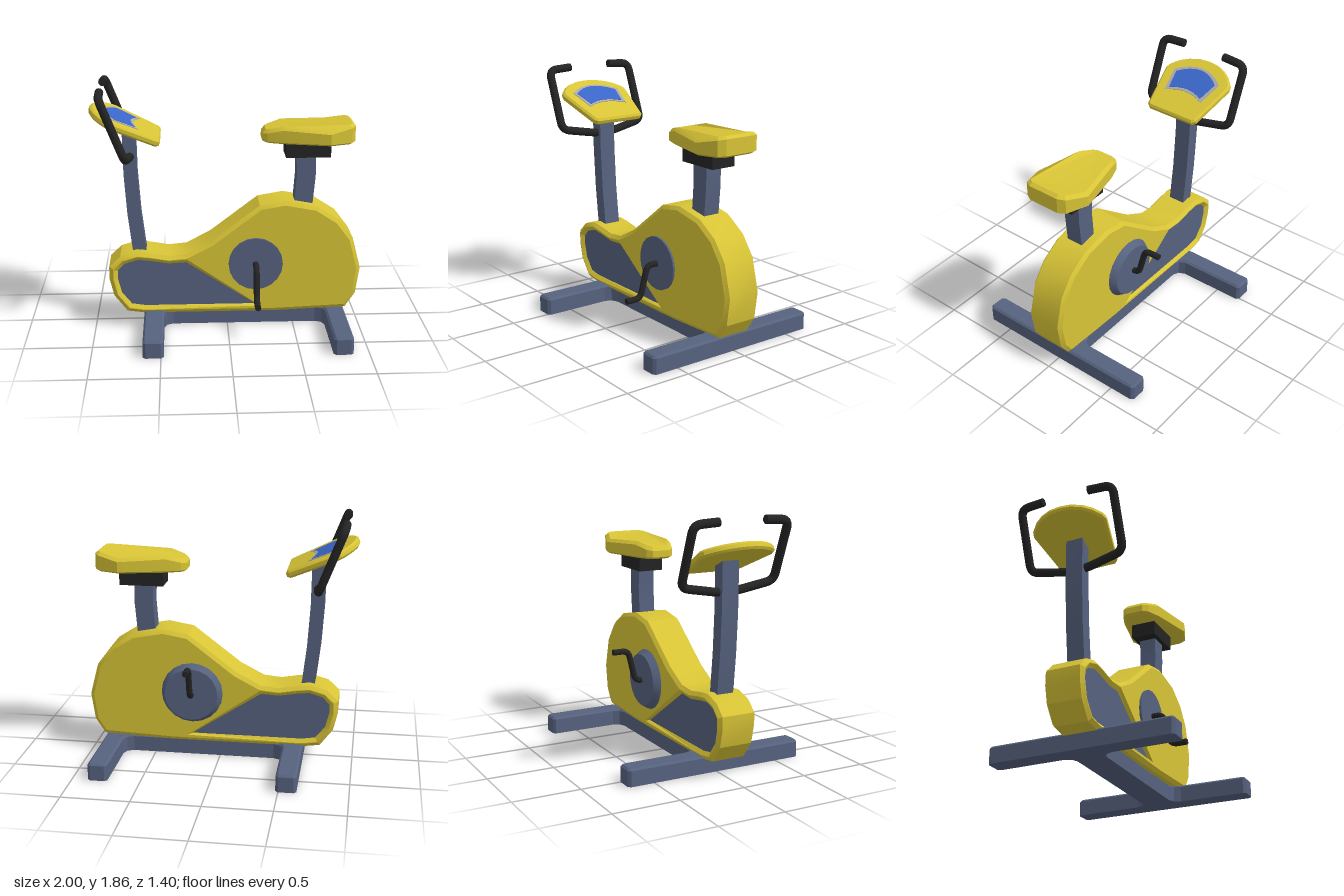
import * as THREE from 'three';
import { toCreasedNormals } from 'three/addons/utils/BufferGeometryUtils.js';

const mat = (color) => new THREE.MeshStandardMaterial({ color });
const YELLOW = mat(0xd8c436), SLATE = mat(0x56627f), BLACK = mat(0x242424);
const GREY = mat(0xa6a8ae), BLUE = mat(0x3a66c8);

const vec2 = (pts) => pts.map(([x, y]) => new THREE.Vector2(x, y));

// Half outline (y >= 0) completed by its reflection in y
const mirrorY = (half) => [...half, ...half.filter((p) => p[1] > 0).reverse().map(([x, y]) => [x, -y])];

function mesh(name, geo, material) {
  const m = new THREE.Mesh(toCreasedNormals(geo, 0.4), material);
  m.name = name;
  return m;
}

// Plate of total thickness t centred on z = 0, chamfered inwards by b (side) and bt (depth)
function plate(pts, t, b = 0, bt = b, hole) {
  const shape = new THREE.Shape(vec2(pts));
  if (hole) shape.holes.push(new THREE.Path(vec2(hole)));
  const geo = new THREE.ExtrudeGeometry(shape, {
    depth: t - 2 * bt, bevelEnabled: b > 0, bevelSize: b, bevelOffset: -b,
    bevelThickness: bt, bevelSegments: 1,
  });
  return geo.translate(0, 0, bt - t / 2);
}

// Lay a plate flat, its underside at y = 0
const flat = (geo, t) => geo.rotateX(-Math.PI / 2).translate(0, t / 2, 0);

// Apply a rule to every vertex
function reshape(geo, rule) {
  const p = geo.attributes.position, v = new THREE.Vector3();
  for (let i = 0; i < p.count; i++) {
    rule(v.fromBufferAttribute(p, i));
    p.setXYZ(i, v.x, v.y, v.z);
  }
  return geo;
}

// Capped round bar through points with rounded corners
function bar(name, points, radius, bend) {
  const group = new THREE.Group();
  group.name = name;
  const p = points.map((q) => new THREE.Vector3(...q));
  const path = new THREE.CurvePath();
  let from = p[0];
  for (let i = 1; i < p.length - 1; i++) {
    const toward = (o) => p[i].clone().add(o.clone().sub(p[i]).setLength(bend));
    const a = toward(p[i - 1]), b = toward(p[i + 1]);
    path.add(new THREE.LineCurve3(from, a));
    path.add(new THREE.QuadraticBezierCurve3(a, p[i], b));
    from = b;
  }
  const last = p[p.length - 1];
  path.add(new THREE.LineCurve3(from, last));
  const tube = new THREE.Mesh(new THREE.TubeGeometry(path, 90, radius, 12), BLACK);
  tube.name = name + 'Tube';
  group.add(tube);
  for (const [end, next] of [[p[0], p[1]], [last, p[p.length - 2]]]) {
    const cap = new THREE.Mesh(new THREE.CircleGeometry(radius, 12), BLACK);
    cap.name = name + 'End';
    cap.position.copy(end);
    cap.lookAt(end.clone().multiplyScalar(2).sub(next));
    group.add(cap);
  }
  return group;
}

// Fan-shaped outline with curved left and right edges, for the display
function fan(xl, hl, bulgeL, xr, hr, bulgeR) {
  const pts = [];
  for (let i = 0; i <= 8; i++) {
    const s = 1 - i / 4;
    pts.push([xl - bulgeL * (1 - s * s), s * hl]);
  }
  for (let i = 0; i <= 8; i++) {
    const s = i / 4 - 1;
    pts.push([xr - bulgeR * (1 - s * s), s * hr]);
  }
  return pts;
}

export function createModel() {
  const model = new THREE.Group();
  model.name = 'exerciseBike';

  // H-shaped floor frame: two cross bars and a filleted centre beam
  const w = 0.11, f = 0.07, c = 0.02, k = 0.3 * f;
  const quarter = (inner, outer, s) => [
    [inner + s * f, w], [inner + s * k, w + k], [inner, w + f],
    [inner, 0.7 - c], [inner - s * c, 0.7], [outer + s * c, 0.7], [outer, 0.7 - c],
  ];
  const rearSide = quarter(0.74, 0.885, -1), frontSide = quarter(-0.48, -0.63, 1);
  const frame = mirrorY([...rearSide.reverse(), ...frontSide]);
  const frameGeo = flat(plate(frame, 0.145, 0.015), 0.145).translate(0, -0.015, 0);
  model.add(mesh('floorFrame', reshape(frameGeo, (v) => { v.y = Math.max(0, v.y); }), SLATE));

  // Everything above the frame shares one centre plane
  const upper = new THREE.Group();
  upper.name = 'upperBody';
  upper.position.z = 0.018;
  model.add(upper);

  // Housing with a sunken panel on each side
  const outline = [
    [-0.885, 0.39], [-0.853, 0.257], [-0.757, 0.13], [-0.63, 0.112], [0.37, 0.112], [0.896, 0.134],
    [0.97, 0.246], [1, 0.45], [0.938, 0.69], [0.83, 0.834], [0.666, 0.94], [0.43, 0.985],
    [0.238, 0.952], [-0.125, 0.674], [-0.306, 0.58], [-0.44, 0.567], [-0.58, 0.592],
    [-0.676, 0.602], [-0.80, 0.567], [-0.885, 0.487],
  ];
  const recess = [
    [-0.822, 0.39], [-0.795, 0.28], [-0.722, 0.188], [-0.62, 0.172], [0.21, 0.172],
    [-0.31, 0.515], [-0.44, 0.507], [-0.58, 0.53], [-0.67, 0.54], [-0.77, 0.51], [-0.822, 0.455],
  ];
  upper.add(mesh('housing', plate(outline, 0.296, 0.028, 0.022, recess), YELLOW));
  upper.add(mesh('sidePanels', plate(recess, 0.25), SLATE));

  // Crank covers: straight on one side, conical on the other
  const cover = (name, z0, z1, r0, r1) => {
    const geo = new THREE.CylinderGeometry(r1, r0, Math.abs(z1 - z0), 20);
    const m = mesh(name, geo.rotateX(Math.sign(z1) * Math.PI / 2), SLATE);
    m.position.set(0.21, 0.505, (z0 + z1) / 2);
    return m;
  };
  upper.add(cover('leftCrankCover', 0.1, 0.165, 0.203, 0.203));
  upper.add(cover('rightCrankCover', -0.145, -0.2, 0.235, 0.2));

  // Pedal cranks, half a turn apart
  for (const [name, s] of [['leftCrank', 1], ['rightCrank', -1]]) {
    upper.add(bar(name, [
      [0.21, 0.505, s * 0.13], [0.21, 0.505, s * 0.25],
      [0.21, 0.505 - s * 0.24, s * 0.31], [0.21, 0.505 - s * 0.24, s * 0.435],
    ], 0.023, 0.05));
  }

  // Curved posts
  const postSide = [[-0.69, 0.5], [-0.71, 0.62], [-0.74, 0.88], [-0.76, 1.19], [-0.765, 1.555]];
  const post = [...postSide.map(([x, y]) => [x + 0.1, Math.min(y, 1.51)]).reverse(), ...postSide];
  upper.add(mesh('handlebarPost', plate(post, 0.13), SLATE));
  const seatPost = [
    [0.485, 0.85], [0.625, 0.85], [0.637, 0.95], [0.655, 1.16], [0.655, 1.33],
    [0.51, 1.33], [0.515, 1.16], [0.5, 0.95],
  ];
  upper.add(mesh('seatPost', plate(seatPost, 0.13), SLATE));

  // Seat and its mount
  const mount = mesh('seatMount', new THREE.BoxGeometry(0.33, 0.13, 0.195), BLACK);
  mount.position.set(0.595, 1.372, 0);
  upper.add(mount);
  const seatOutline = mirrorY([
    [0.93, 0.12], [0.9, 0.172], [0.74, 0.23], [0.4, 0.152], [0.29, 0.11], [0.255, 0.07],
  ]);
  const crown = [[0.255, 1.51], [0.4, 1.55], [0.74, 1.535], [0.93, 1.575]];
  const topAt = (x) => {
    const i = x < 0.4 ? 0 : x < 0.74 ? 1 : 2;
    const [[x0, y0], [x1, y1]] = [crown[i], crown[i + 1]];
    return y0 + (y1 - y0) * (x - x0) / (x1 - x0);
  };
  const seatGeo = reshape(flat(plate(seatOutline, 0.12, 0.025), 0.12), (v) => {
    v.y = v.y > 0.06 ? topAt(v.x) + v.y - 0.12 : 1.42 + v.y * 0.6;
  });
  upper.add(mesh('seat', seatGeo, YELLOW));

  // Tilted console with framed display
  const console_ = new THREE.Group();
  console_.name = 'console';
  console_.position.set(-0.743, 1.563, 0);
  console_.rotation.z = -0.424;
  const consoleOutline = mirrorY([
    [0.277, 0.195], [0.255, 0.22], [-0.1, 0.29], [-0.145, 0.275], [-0.2, 0.225],
    [-0.24, 0.165], [-0.27, 0.085], [-0.278, 0],
  ]);
  const layer = (name, pts, t, y, b, material) => {
    const m = mesh(name, flat(plate(pts, t, b), t), material);
    m.position.y = y;
    console_.add(m);
  };
  layer('consoleBody', consoleOutline, 0.056, -0.028, 0.015, YELLOW);
  layer('displayFrame', fan(-0.1, 0.205, 0.085, 0.1, 0.165, 0.045), 0.01, 0.022, 0, GREY);
  layer('display', fan(-0.085, 0.178, 0.08, 0.072, 0.143, 0.04), 0.01, 0.025, 0, BLUE);
  upper.add(console_);

  // Handlebar: one leaning loop with inward grips
  const lean = ([z, y]) => [-0.71 - 0.39 * (y - 1.32), y, z];
  const rightHalf = [[-0.18, 1.825], [-0.368, 1.815], [-0.368, 1.375], [-0.07, 1.32]];
  const leftHalf = rightHalf.map(([z, y]) => [-z, y]).reverse();
  upper.add(bar('handlebar', [...rightHalf, ...leftHalf].map(lean), 0.031, 0.06));

  return model;
}
